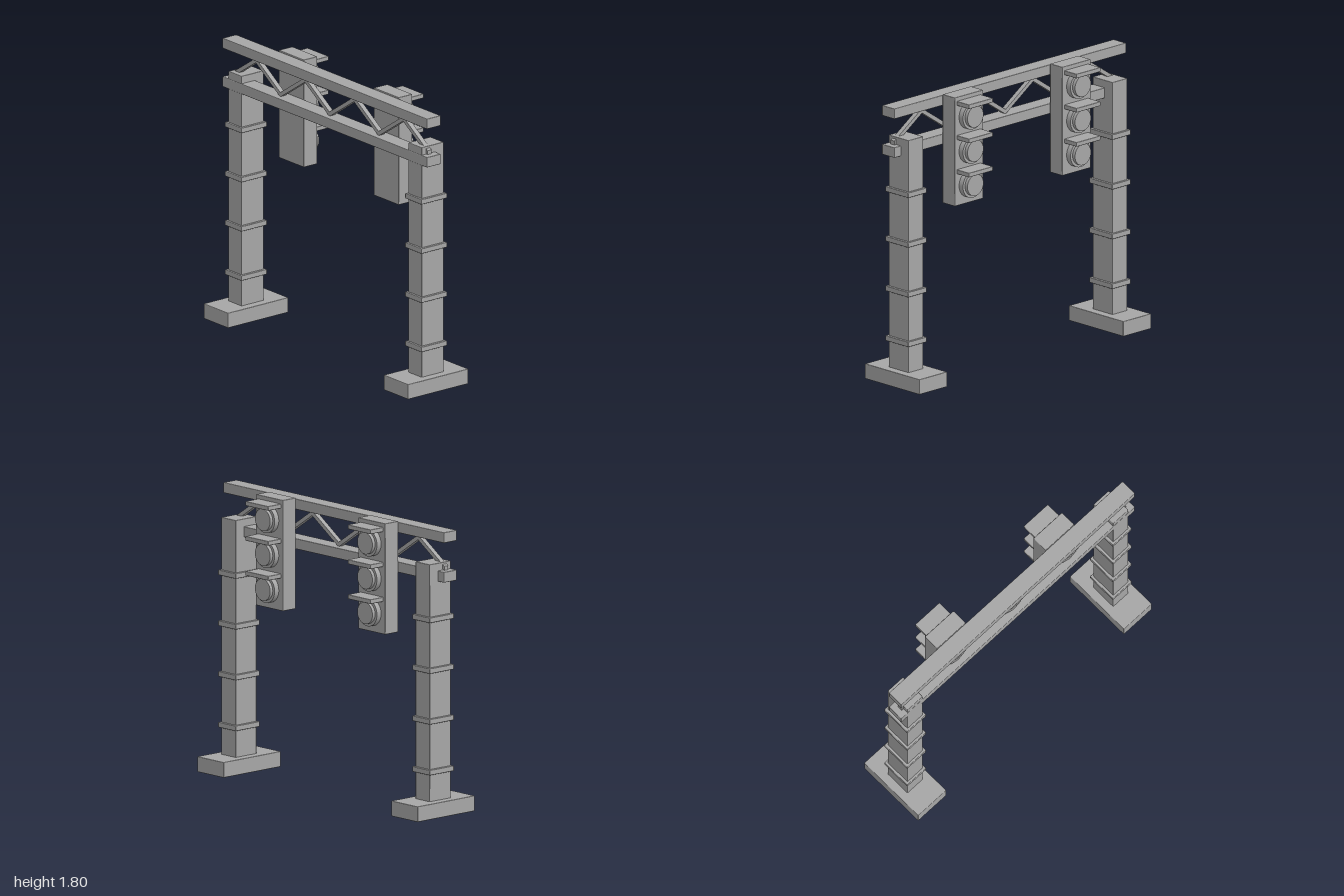
import * as THREE from 'three';
import { RoundedBoxGeometry } from 'three/addons/geometries/RoundedBoxGeometry.js';

export function createModel() {
  const model = new THREE.Group();
  model.name = 'signalGantry';
  const grey = new THREE.MeshStandardMaterial({ color: 0xa6a6a6 });
  grey.name = 'grey';

  const add = (parent, name, geometry, x, y, z) => {
    const mesh = new THREE.Mesh(geometry, grey);
    mesh.name = name;
    mesh.position.set(x, y, z);
    parent.add(mesh);
    return mesh;
  };
  // Box given by its limits, with a tiny softened edge
  const box = (parent, name, [x0, x1], [y0, y1], [z0, z1]) =>
    add(parent, name, new RoundedBoxGeometry(x1 - x0, y1 - y0, z1 - z0, 1, 0.005),
      (x0 + x1) / 2, (y0 + y1) / 2, (z0 + z1) / 2);

  // Posts with footing and bands
  for (const side of [-1, 1]) {
    const post = new THREE.Group();
    post.name = side > 0 ? 'leftPost' : 'rightPost';
    post.position.x = side * 0.88;
    box(post, 'footing', [-0.12, 0.12], [0, 0.098], [-0.24, 0.24]);
    box(post, 'column', [-0.065, 0.065], [0.09, 1.592], [-0.088, 0.088]);
    for (let i = 0; i < 4; i++) {
      const y = 0.284 + i * 0.32;
      box(post, 'band', [-0.081, 0.081], [y - 0.017, y + 0.017], [-0.102, 0.102]);
    }
    model.add(post);
  }

  // Horizontal beams
  box(model, 'lowerBeam', [-1, 1], [1.476, 1.543], [-0.02, 0.09]);
  box(model, 'upperBeam', [-1, 1], [1.726, 1.793], [-0.02, 0.09]);

  // Zigzag truss: one mitred strip between the beams
  const upper = [], lower = [];
  for (let i = 0; i <= 8; i++) {
    const x = -0.96 + i * 0.24;
    const y = i % 2 ? 1.713 : 1.553;
    upper.push(new THREE.Vector2(x, y + 0.015));
    lower.unshift(new THREE.Vector2(x, y - 0.015));
  }
  const truss = new THREE.ExtrudeGeometry(new THREE.Shape([...upper, ...lower]),
    { depth: 0.032, bevelEnabled: false });
  add(model, 'truss', truss, 0, 0, 0.021);

  // Three-lamp signal heads facing the back
  for (const side of [-1, 1]) {
    const signal = new THREE.Group();
    signal.name = side > 0 ? 'leftSignal' : 'rightSignal';
    signal.position.x = side * 0.464;
    box(signal, 'housing', [-0.123, 0.123], [1.1, 1.8], [-0.13, -0.021]);
    for (let i = 0; i < 3; i++) {
      const y = 1.665 - i * 0.22;
      const disc = (name, radius, z) =>
        add(signal, name, new THREE.CylinderGeometry(radius, radius, -0.12 - z, 32), 0, y, (z - 0.12) / 2)
          .rotation.x = Math.PI / 2;
      disc('lampRing', 0.086, -0.165);
      disc('lampLens', 0.069, -0.187);
      box(signal, 'visor', [-0.104, 0.104], [y + 0.08, y + 0.109], [-0.236, -0.12]);
    }
    model.add(signal);
  }
  return model;
}
